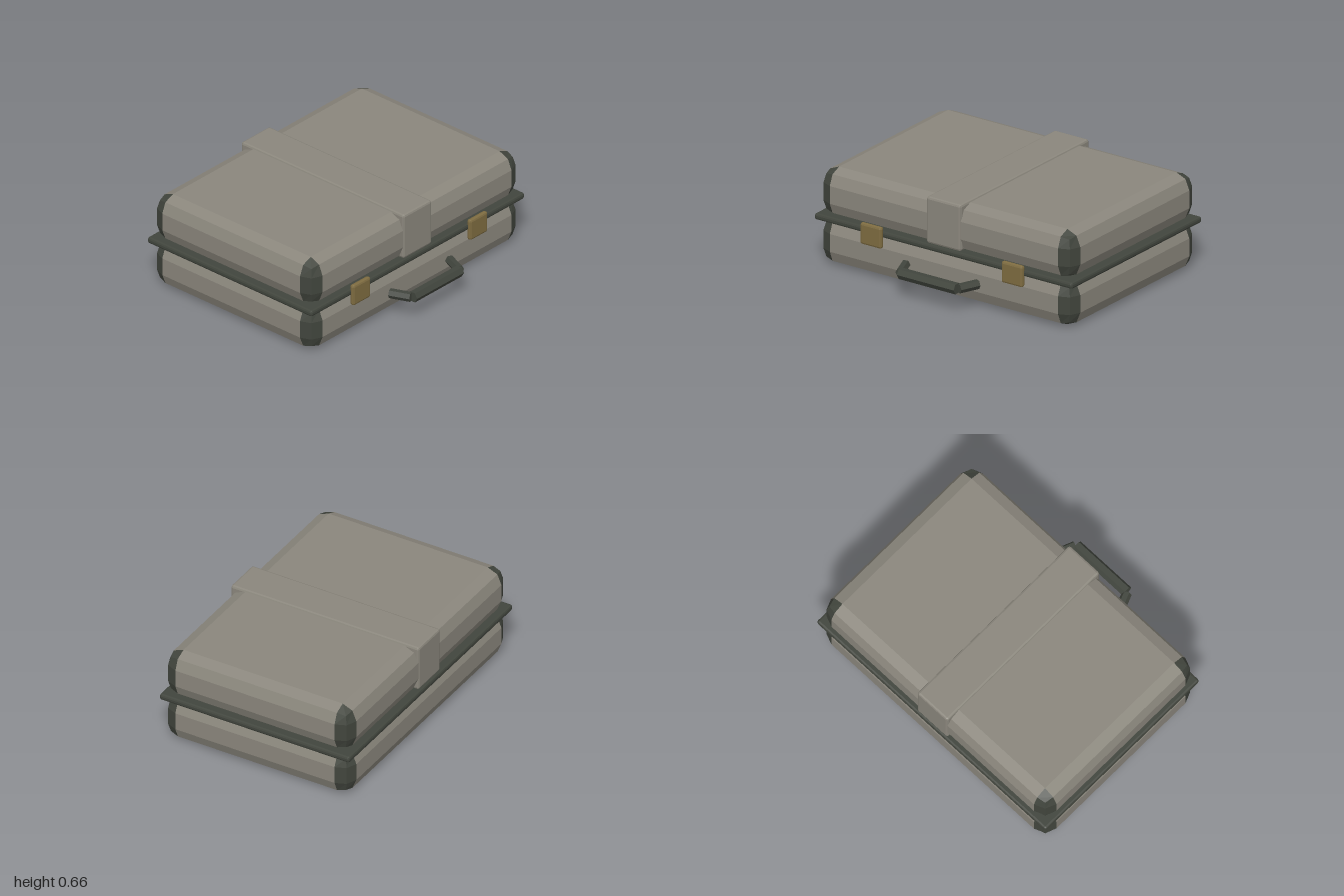
import * as THREE from 'three';
import { RoundedBoxGeometry } from 'three/addons/geometries/RoundedBoxGeometry.js';

export function createModel() {
  const mat = (name, color) => {
    const m = new THREE.MeshStandardMaterial({ color });
    m.name = name;
    return m;
  };
  const hide = mat('grey hide', 0x8a867c);
  const trim = mat('dark trim', 0x41453d);
  const brass = mat('dull brass', 0x7d6b40);

  const model = new THREE.Group();
  model.name = 'suitcase';
  const add = (name, geometry, material, parent = model) => {
    const mesh = new THREE.Mesh(geometry, material);
    mesh.name = name;
    parent.add(mesh);
    return mesh;
  };

  // Faceted rounded box given by its lower and upper limits
  const box = (x0, x1, y0, y1, z0, z1, radius) => {
    const g = new RoundedBoxGeometry(x1 - x0, y1 - y0, z1 - z0, 1, radius);
    g.computeVertexNormals();
    return g.translate((x0 + x1) / 2, (y0 + y1) / 2, (z0 + z1) / 2);
  };

  // Half of the case: its four upright corners are split off as dark guards
  const X = 0.985, Z0 = -0.775, Z1 = 0.59, R = 0.1;
  const shell = (name, y0, y1) => {
    const group = new THREE.Group();
    group.name = name;
    const p = box(-X, X, y0, y1, Z0, Z1, R).attributes.position;
    const panels = [], guards = [];
    const midZ = (Z0 + Z1) / 2, halfZ = (Z1 - Z0) / 2;
    for (let i = 0; i < p.count; i += 3) {
      const cx = (p.getX(i) + p.getX(i + 1) + p.getX(i + 2)) / 3;
      const cz = (p.getZ(i) + p.getZ(i + 1) + p.getZ(i + 2)) / 3;
      const isGuard = Math.abs(cx) > X - R && Math.abs(cz - midZ) > halfZ - R;
      const list = isGuard ? guards : panels;
      for (let k = i; k < i + 3; k++) list.push(p.getX(k), p.getY(k), p.getZ(k));
    }
    const build = (list) => {
      const g = new THREE.BufferGeometry();
      g.setAttribute('position', new THREE.Float32BufferAttribute(list, 3));
      g.computeVertexNormals();
      return g;
    };
    add('panels', build(panels), hide, group);
    add('cornerGuards', build(guards), trim, group);
    model.add(group);
  };
  shell('lowerShell', 0, 0.32);
  shell('lid', 0.325, 0.645);

  // Rim between the halves, and the strap over the lid
  add('rim', box(-1, 1, 0.295, 0.337, -0.79, 0.6, 0.014), trim);
  add('strap', box(-0.133, 0.133, 0.342, 0.657, -0.78, 0.597, 0.015), hide);

  // Latches
  for (const s of [-1, 1]) {
    const x = s * 0.548;
    add(s > 0 ? 'leftLatch' : 'rightLatch',
      box(x - 0.082, x + 0.082, 0.225, 0.37, 0.588, 0.623, 0.014), brass);
  }

  // Handle: hexagonal grip and two splayed arms, flat side up
  const handle = new THREE.Group();
  handle.name = 'handle';
  handle.position.y = 0.167;
  model.add(handle);
  const hex = (radius, length) => {
    const g = new THREE.CylinderGeometry(radius, radius, length, 6).toNonIndexed();
    g.computeVertexNormals();
    return g;
  };
  add('grip', hex(0.038, 0.44).rotateZ(Math.PI / 2), trim, handle).position.z = 0.752;
  for (const s of [-1, 1]) {
    const dx = -0.053, dz = 0.131;
    const g = hex(0.032, Math.hypot(dx, dz)).rotateY(Math.PI / 6).rotateX(Math.PI / 2);
    const arm = add(s > 0 ? 'leftArm' : 'rightArm', g, trim, handle);
    arm.rotation.y = s * Math.atan2(dx, dz);
    arm.position.set(s * 0.2535, 0, 0.679);
  }
  return model;
}
